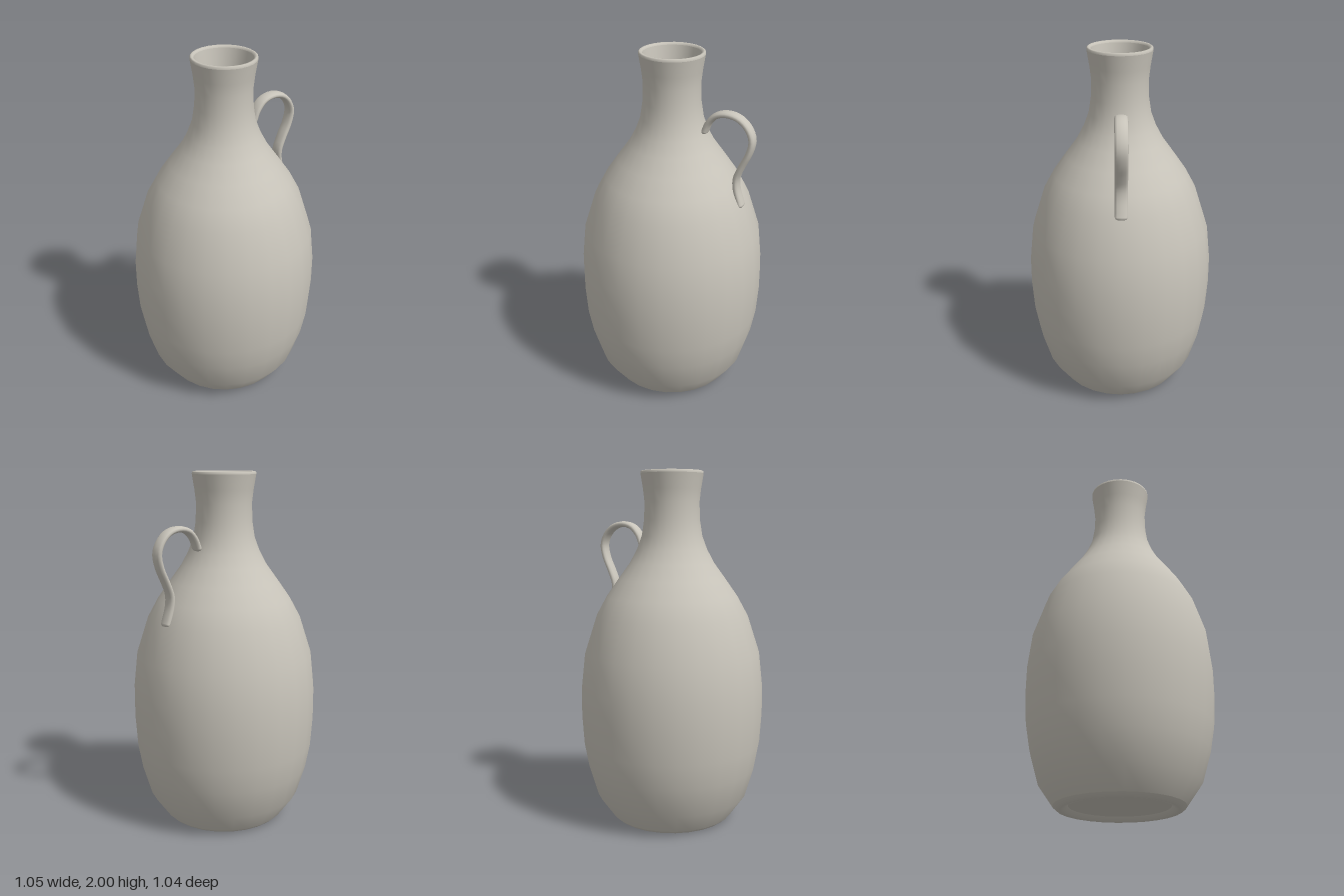
import * as THREE from 'three';
import { mergeVertices } from 'three/addons/utils/BufferGeometryUtils.js';

const SIDES = 26;

export function createModel() {
  const clay = new THREE.MeshStandardMaterial({ color: 0xc8c4ba });
  clay.name = 'pale clay';
  const jug = new THREE.Group();
  jug.name = 'jug';

  const add = (name, geometry, parent = jug) => {
    const mesh = new THREE.Mesh(geometry, clay);
    mesh.name = name;
    parent.add(mesh);
    return mesh;
  };
  // Each profile is a list of [radius, height]; separate lathes keep sharp edges.
  const lathe = (name, profile) =>
    add(name, new THREE.LatheGeometry(profile.map(([r, y]) => new THREE.Vector2(r, y)), SIDES, Math.PI / 2));

  // Recessed underside and foot ring
  lathe('underside', [[0, 0.025], [0.275, 0.025]]);
  lathe('footRing', [[0.275, 0.025], [0.295, 0.004], [0.315, 0], [0.335, 0.003], [0.355, 0.02]]);

  // Outer wall from foot to lip
  const outer = [
    [0.355, 0.02], [0.44, 0.14], [0.49, 0.31], [0.515, 0.45], [0.526, 0.62], [0.525, 0.78],
    [0.503, 0.98], [0.435, 1.19], [0.375, 1.3], [0.305, 1.4], [0.24, 1.49], [0.2, 1.565],
    [0.172, 1.64], [0.158, 1.73], [0.155, 1.83], [0.163, 1.9], [0.177, 1.985],
  ];
  lathe('outerWall', outer);

  // Softly rounded lip
  lathe('lip', [[0.177, 1.985], [0.176, 1.996], [0.17, 2], [0.16, 1.998], [0.156, 1.988]]);

  // Inner wall follows the outer one, top to bottom
  const inner = outer.slice(1).reverse().map(([r, y]) => [r - 0.022, y]);
  inner[0] = [0.156, 1.988];
  lathe('innerWall', [...inner, [0.33, 0.05]]);
  lathe('innerFloor', [[0.33, 0.05], [0, 0.05]]);

  // Strap handle on the model's left: a tube widened into a flat band
  const handle = new THREE.Group();
  handle.name = 'handle';
  jug.add(handle);
  const T = 0.017, W = 0.035;
  const path = new THREE.CatmullRomCurve3([
    [0.2, 1.595], [0.218, 1.64], [0.262, 1.688], [0.325, 1.705], [0.395, 1.69], [0.445, 1.645],
    [0.469, 1.585], [0.455, 1.51], [0.418, 1.43], [0.391, 1.36], [0.392, 1.3], [0.421, 1.205],
  ].map(([x, y]) => new THREE.Vector3(x, y, 0)));

  const widen = (geometry) => {
    const p = geometry.attributes.position;
    for (let i = 0; i < p.count; i++) {
      const z = p.getZ(i) / T;
      p.setZ(i, Math.sign(z) * Math.pow(Math.abs(z), 0.7) * W);
    }
    geometry.deleteAttribute('uv');
    geometry.deleteAttribute('normal');
    const welded = mergeVertices(geometry, 1e-4);
    welded.computeVertexNormals();
    return welded;
  };
  add('strap', widen(new THREE.TubeGeometry(path, 36, T, 12, false)), handle);

  // Rounded ends where the strap meets the body
  [['upperEnd', 0], ['lowerEnd', 1]].forEach(([name, t]) => {
    const end = add(name, widen(new THREE.SphereGeometry(T, 12, 8)), handle);
    end.position.copy(path.getPoint(t));
  });

  return jug;
}
